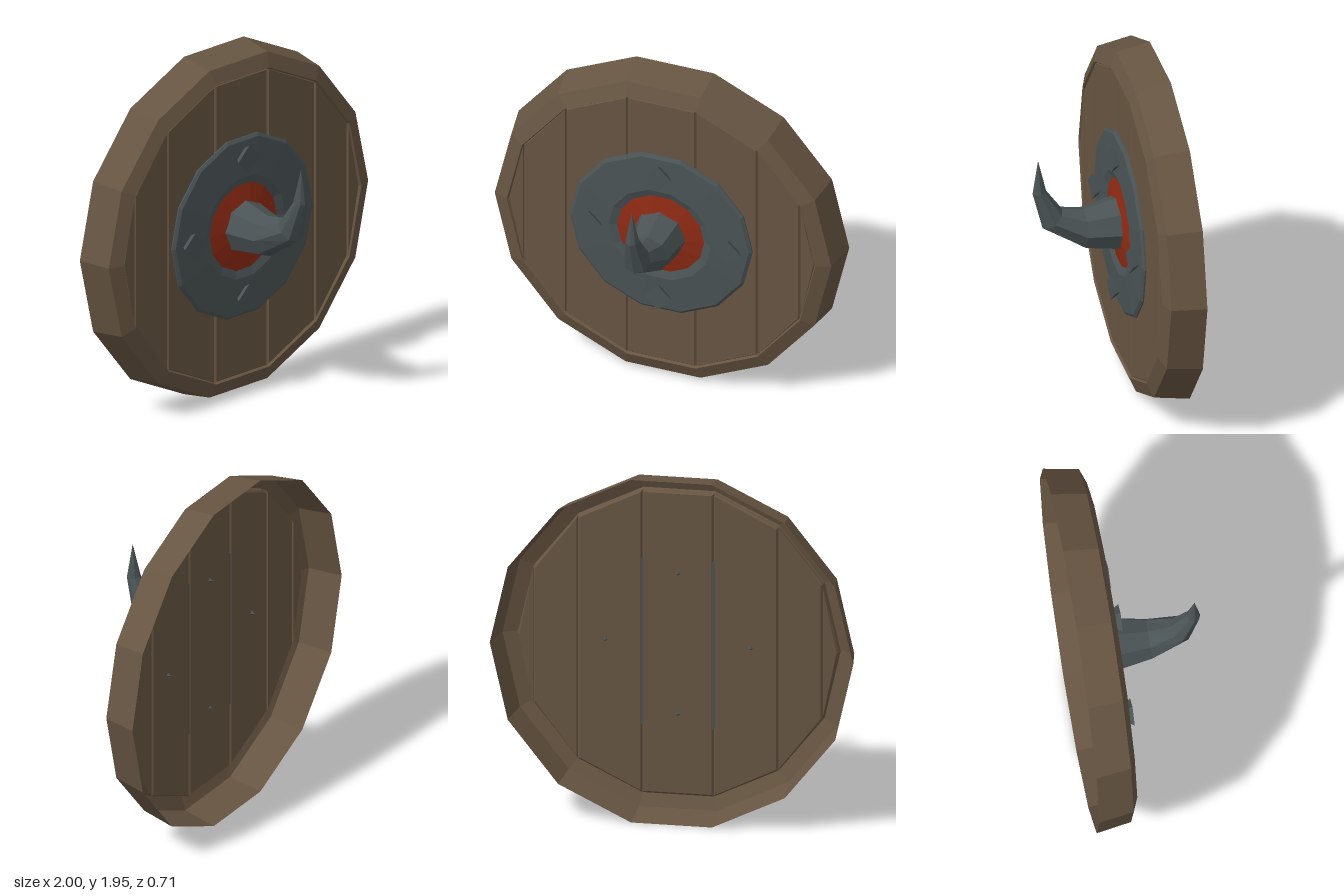
import * as THREE from 'three';

const SIDES = 14;
const CENTRE_Y = 0.975;

const mat = (name, color, side = THREE.FrontSide) => {
  const m = new THREE.MeshStandardMaterial({ color, flatShading: true, side });
  m.name = name;
  return m;
};

// Faceted ring turned around the z axis; profile is [radius, z] from back to front
function turned(profile) {
  const pts = profile.map(([r, z]) => new THREE.Vector2(r, z));
  return new THREE.LatheGeometry(pts, SIDES, Math.PI / 2).rotateX(Math.PI / 2);
}

// Eight-sided horn skinned over [y, z, radius, tilt] sections, closed by a tip
function hornGeometry(sections, tip, n = 8) {
  const pos = [], idx = [];
  for (const [y, z, r, tilt] of sections) {
    for (let i = 0; i < n; i++) {
      const a = (i / n) * Math.PI * 2;
      const up = Math.sin(a) * r;
      pos.push(Math.cos(a) * r, y + up * Math.cos(tilt), z - up * Math.sin(tilt));
    }
  }
  pos.push(...tip);
  const last = sections.length - 1, tipIndex = sections.length * n;
  for (let s = 0; s <= last; s++) {
    for (let i = 0; i < n; i++) {
      const j = (i + 1) % n, a = s * n + i, b = s * n + j;
      if (s === last) idx.push(a, b, tipIndex);
      else idx.push(a, b, b + n, a, b + n, a + n);
    }
  }
  const g = new THREE.BufferGeometry();
  g.setAttribute('position', new THREE.Float32BufferAttribute(pos, 3));
  g.setIndex(idx);
  g.computeVertexNormals();
  return g;
}

export function createModel() {
  const wood = mat('wood', 0x675542);
  const rimWood = wood.clone();
  rimWood.side = THREE.DoubleSide;
  const iron = mat('iron', 0x4a5355);
  const red = mat('red paint', 0x8f2a14);

  const shield = new THREE.Group();
  shield.name = 'shield';
  shield.position.y = CENTRE_Y;
  const add = (name, geometry, material) => {
    const mesh = new THREE.Mesh(geometry, material);
    mesh.name = name;
    shield.add(mesh);
    return mesh;
  };

  // Rim: open shell at the back, bevelled at the front
  add('rim', turned([[1, -0.358], [0.968, -0.165], [0.887, -0.133], [0.877, -0.15]]), rimWood);

  // Planks: vertical strips of the polygon with bevelled edges
  const R = 0.884, bevel = 0.011;
  for (let k = 0; k < SIDES / 2; k++) {
    const [a, b] = [k, k + 1].map((i) => (i * Math.PI * 2) / SIDES);
    const corners = [[a, -1], [a, 1], [b, 1], [b, -1]]
      .filter(([t, s]) => Math.sin(t) > 1e-6 || s > 0)
      .map(([t, s]) => new THREE.Vector2(R * Math.cos(t), s * R * Math.sin(t)));
    const plank = new THREE.ExtrudeGeometry(new THREE.Shape(corners), {
      depth: 0.016, bevelEnabled: true, bevelSegments: 1,
      bevelThickness: bevel, bevelSize: bevel, bevelOffset: -bevel,
    });
    plank.translate(0, 0, -0.169);
    add('plank', plank, wood);
  }

  // Iron boss plate with a dished, red-painted centre
  add('bossPlate', turned([[0, -0.177], [0.525, -0.177], [0.525, -0.135], [0.508, -0.123],
    [0.295, -0.112], [0.25, -0.128]]), iron);
  add('redCentre', turned([[0.25, -0.128], [0.13, -0.106]]), red);

  // Curved spike rising from the boss
  add('horn', hornGeometry([
    [0.005, -0.13, 0.154, 0],
    [0, 0.075, 0.115, 0.05],
    [0.083, 0.245, 0.076, 0.8],
    [0.26, 0.318, 0.038, 1.45],
  ], [0, 0.458, 0.325]), iron);

  // Four flared rivets whose points pass through the planks
  for (let i = 0; i < 4; i++) {
    const a = (i * Math.PI) / 2;
    const rivet = add('rivet', new THREE.CylinderGeometry(0.08, 0, 0.12, 4).rotateX(Math.PI / 2), iron);
    rivet.position.set(0.4 * Math.cos(a), 0.4 * Math.sin(a), -0.14);
  }

  const model = new THREE.Group();
  model.name = 'spikedShield';
  model.add(shield);
  return model;
}
